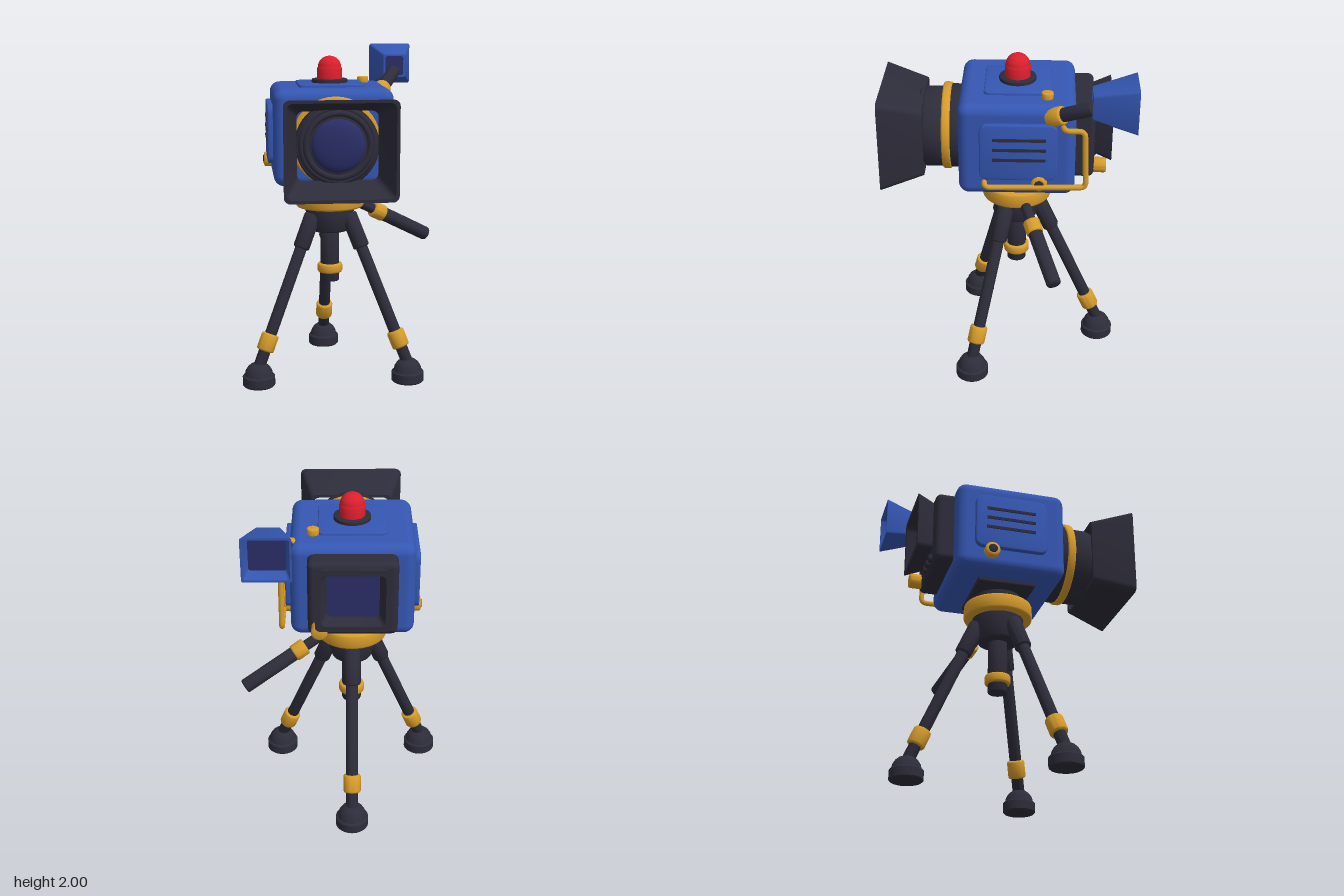
import * as THREE from 'three';
import { toCreasedNormals } from 'three/addons/utils/BufferGeometryUtils.js';
import { RoundedBoxGeometry } from 'three/addons/geometries/RoundedBoxGeometry.js';

const material = (name, color) => Object.assign(new THREE.MeshStandardMaterial({ color }), { name });
const V = (x, y, z) => new THREE.Vector3(x, y, z);

export function createModel() {
  const blue = material('body blue', 0x3557b3);
  const dark = material('charcoal', 0x2d2c3a);
  const gold = material('golden yellow', 0xd69c2b);
  const red = material('lamp red', 0xdb1f2d);
  const navy = material('glass navy', 0x2a2e66);

  const model = new THREE.Group();
  model.name = 'studioCamera';
  const CX = -0.055, CZ = -0.066; // tripod axis

  function add(name, geometry, mat, x = 0, y = 0, z = 0) {
    const mesh = new THREE.Mesh(geometry, mat);
    mesh.name = name;
    mesh.position.set(x, y, z);
    model.add(mesh);
    return mesh;
  }

  // Drum with softened rims, centred on its own y axis
  function drum(rTop, rBottom, h, b = 0.01) {
    const k = b * 0.3, t = h / 2;
    const profile = [[0, -t], [rBottom - b, -t], [rBottom - k, -t + k], [rBottom, -t + b],
      [rTop, t - b], [rTop - k, t - k], [rTop - b, t], [0, t]];
    return toCreasedNormals(new THREE.LatheGeometry(profile.map(p => new THREE.Vector2(...p)), 40), 0.8);
  }

  // Round bar between two points
  function rod(name, a, b, r, mat, bevel = 0.006) {
    const mesh = add(name, drum(r, r, a.distanceTo(b), bevel), mat);
    mesh.position.copy(a).lerp(b, 0.5);
    mesh.quaternion.setFromUnitVectors(V(0, 1, 0), b.clone().sub(a).normalize());
    return mesh;
  }

  // Points of a rounded rectangle, counter-clockwise
  function roundedRect(hw, hh, r, steps = 5) {
    const points = [];
    [[1, 1], [-1, 1], [-1, -1], [1, -1]].forEach(([sx, sy], q) => {
      for (let i = 0; i <= steps; i++) {
        const a = (q + i / steps) * Math.PI / 2;
        points.push(new THREE.Vector2(sx * (hw - r) + r * Math.cos(a), sy * (hh - r) + r * Math.sin(a)));
      }
    });
    return points;
  }

  // Thin rounded panel, front facing +z, back at z = 0
  function panel(w, h, depth, r) {
    const b = Math.min(0.006, depth / 3);
    const shape = new THREE.Shape(roundedRect(w / 2 - b, h / 2 - b, r));
    const g = new THREE.ExtrudeGeometry(shape, {
      depth: depth - b, bevelEnabled: true, bevelSize: b, bevelThickness: b, bevelSegments: 2 });
    return toCreasedNormals(g, 0.8);
  }

  // Hollow flared hood opening towards +z, starting at z = 0
  function hood(hw0, hh0, hw1, hh1, depth, wall, r) {
    const loops = [[hw0, hh0, 0], [hw1, hh1, depth], [hw1 - wall, hh1 - wall, depth], [hw0 - wall, hh0 - wall, 0]]
      .map(([w, h, z]) => roundedRect(w, h, r).map(p => [p.x, p.y, z]));
    const pos = [];
    loops.forEach((a, i) => {
      const b = loops[(i + 1) % loops.length];
      a.forEach((p, j) => {
        const k = (j + 1) % a.length;
        pos.push(...p, ...a[k], ...b[k], ...p, ...b[k], ...b[j]);
      });
    });
    const g = new THREE.BufferGeometry();
    g.setAttribute('position', new THREE.Float32BufferAttribute(pos, 3));
    return toCreasedNormals(g, 0.7);
  }

  // Drum turned to lie along z
  const drumZ = (r, h, b) => drum(r, r, h, b).rotateX(Math.PI / 2);

  // Camera body and its raised panels
  add('body', new RoundedBoxGeometry(0.7, 0.565, 0.667, 5, 0.06), blue, CX, 1.507, -0.071);
  add('topPanel', panel(0.39, 0.385, 0.025, 0.03), blue, CX, 1.78, -0.072).rotation.x = -Math.PI / 2;
  for (const s of [-1, 1]) {
    add('sidePanel', panel(0.44, 0.345, 0.04, 0.04), blue, CX + s * 0.34, 1.518, -0.08).rotation.y = s * Math.PI / 2;
    for (const y of [1.6, 1.538, 1.475])
      add('ventSlot', new THREE.BoxGeometry(0.008, 0.018, 0.3), dark, CX + s * 0.381, y, -0.085);
    // Side knob with a dark centre
    add('sideKnob', drum(0.045, 0.045, 0.06).rotateZ(Math.PI / 2), gold, CX + s * 0.365, 1.325, -0.2);
    add('sideKnobCentre', drum(0.027, 0.027, 0.02, 0.004).rotateZ(Math.PI / 2), dark, CX + s * 0.39, 1.325, -0.2);
  }

  // Signal lamp and top button
  add('lampBase', drum(0.107, 0.107, 0.03, 0.006), dark, CX, 1.812, -0.068);
  const lampProfile = [[0, 0], [0.074, 0], [0.074, 0.065], [0.07, 0.071]];
  for (let i = 1; i <= 10; i++) {
    const a = i / 10 * Math.PI / 2;
    lampProfile.push([0.07 * Math.cos(a), 0.071 + 0.066 * Math.sin(a)]);
  }
  add('signalLamp', toCreasedNormals(new THREE.LatheGeometry(
    lampProfile.map(p => new THREE.Vector2(Math.max(p[0], 0), p[1])), 40), 0.6), red, CX, 1.825, -0.068);
  add('topButton', drum(0.034, 0.034, 0.05, 0.006), gold, 0.165, 1.8, -0.24);

  // Lens barrel, stepped rings and glass
  add('lensMount', drumZ(0.245, 0.1), dark, CX, 1.5, 0.28);
  add('lensRing', drumZ(0.256, 0.05), gold, CX, 1.5, 0.34);
  add('lensBarrel', drumZ(0.236, 0.125), dark, CX, 1.493, 0.412);
  for (const [r, z] of [[0.205, 0.485], [0.18, 0.505]])
    add('lensStep', new THREE.TorusGeometry(r, 0.018, 12, 48), dark, CX, 1.5, z);
  add('lensFront', drumZ(0.182, 0.05), dark, CX, 1.5, 0.485);
  add('lensGlass', new THREE.SphereGeometry(0.15, 40, 12, 0, Math.PI * 2, 0, Math.PI / 2)
    .rotateX(Math.PI / 2).scale(1, 1, 0.28), navy, CX, 1.5, 0.51);
  add('lensHood', hood(0.247, 0.213, 0.315, 0.28, 0.25, 0.018, 0.035), dark, CX, 1.494, 0.47);

  // Rear panel, viewfinder and controls
  add('rearPanel', new RoundedBoxGeometry(0.5, 0.45, 0.17, 4, 0.035), dark, CX, 1.52, -0.43);
  add('viewfinderHood', hood(0.165, 0.16, 0.208, 0.187, 0.105, 0.032, 0.03), dark, CX, 1.567, -0.51).rotation.y = Math.PI;
  add('viewfinderScreen', new THREE.BoxGeometry(0.29, 0.275, 0.008), navy, CX, 1.567, -0.535);
  add('rearKnob', drumZ(0.045, 0.08), gold, 0.13, 1.35, -0.547);
  for (const x of [-0.04, -0.115, -0.19])
    add('rearButton', drumZ(0.025, 0.03, 0.008), dark, x, 1.345, -0.52);

  // Side grab handle
  const handlePath = new THREE.CurvePath();
  const corners = [V(0.28, 1.67, -0.33), V(0.34, 1.67, -0.34), V(0.34, 1.67, -0.45),
    V(0.34, 1.315, -0.465), V(0.34, 1.305, 0.11), V(0.27, 1.32, 0.115)];
  let from = corners[0];
  for (let i = 1; i < corners.length; i++) {
    const c = corners[i], next = corners[i + 1];
    if (!next) { handlePath.add(new THREE.LineCurve3(from, c)); break; }
    const inset = p => c.clone().add(p.clone().sub(c).setLength(Math.min(0.035, p.distanceTo(c) * 0.45)));
    const a = inset(corners[i - 1]), b = inset(next);
    handlePath.add(new THREE.LineCurve3(from, a));
    handlePath.add(new THREE.QuadraticBezierCurve3(a, c, b));
    from = b;
  }
  add('grabHandle', new THREE.TubeGeometry(handlePath, 140, 0.016, 10), gold);

  // Work light on its arm
  const armStart = V(0.26, 1.71, -0.25), armEnd = V(0.395, 1.84, -0.49);
  rod('lightArm', armStart, armEnd, 0.04, dark);
  rod('lightSocket', armStart, V(0.306, 1.752, -0.33), 0.054, gold, 0.012);
  add('lightHood', hood(0.069, 0.072, 0.133, 0.128, 0.243, 0.012, 0.012), blue, 0.396, 1.872, -0.48).rotation.y = Math.PI;
  add('lightBackPlate', new THREE.BoxGeometry(0.122, 0.126, 0.008), navy, 0.396, 1.872, -0.487);
  add('lightPane', new THREE.BoxGeometry(0.2, 0.2, 0.008), navy, 0.396, 1.872, -0.64);

  // Tripod head and centre column
  add('mountPlate', new RoundedBoxGeometry(0.43, 0.04, 0.35, 2, 0.01), dark, CX, 1.22, CZ);
  add('neck', drum(0.14, 0.14, 0.1), dark, CX, 1.165, CZ);
  add('headRing', drum(0.207, 0.207, 0.095, 0.014), gold, CX, 1.097, CZ);
  add('hub', drum(0.157, 0.122, 0.17, 0.015), dark, CX, 0.985, CZ);
  add('centreColumn', drum(0.058, 0.058, 0.36, 0.008), dark, CX, 0.76, CZ);
  add('columnCollar', drum(0.077, 0.077, 0.058, 0.012), gold, CX, 0.663, CZ);

  // Pan handle
  const pan = x => V(x, 0.99 - 0.55 * (x - 0.255), -0.17 - 0.387 * (x - 0.255));
  rod('panRod', pan(0.05), pan(0.3), 0.032, dark);
  rod('panGrip', pan(0.27), pan(0.583), 0.043, dark, 0.01);
  rod('panCollar', pan(0.22), pan(0.292), 0.051, gold, 0.01);

  // Three legs with sleeves, clamps and rubber feet
  const footProfile = [[0, 0], [0.09, 0], [0.098, 0.008], [0.098, 0.06], [0.092, 0.067], [0.086, 0.069],
    [0.08, 0.095], [0.066, 0.118], [0.048, 0.134], [0.03, 0.14], [0, 0.142]].map(p => new THREE.Vector2(...p));
  const foot = toCreasedNormals(new THREE.LatheGeometry(footProfile, 40), 0.7);
  for (const angle of [30, 150, 270]) {
    const a = THREE.MathUtils.degToRad(angle);
    const at = y => {
      const d = 0.178 + 0.445 * (0.89 - y);
      return V(CX + d * Math.cos(a), y, CZ + d * Math.sin(a));
    };
    rod('leg', at(1.0), at(0.1), 0.036, dark);
    rod('legSleeve', at(1.01), at(0.81), 0.05, dark, 0.01);
    rod('legClamp', at(0.31), at(0.21), 0.053, gold, 0.012);
    add('foot', foot, dark, CX + 0.524 * Math.cos(a), 0, CZ + 0.524 * Math.sin(a));
  }

  return model;
}
